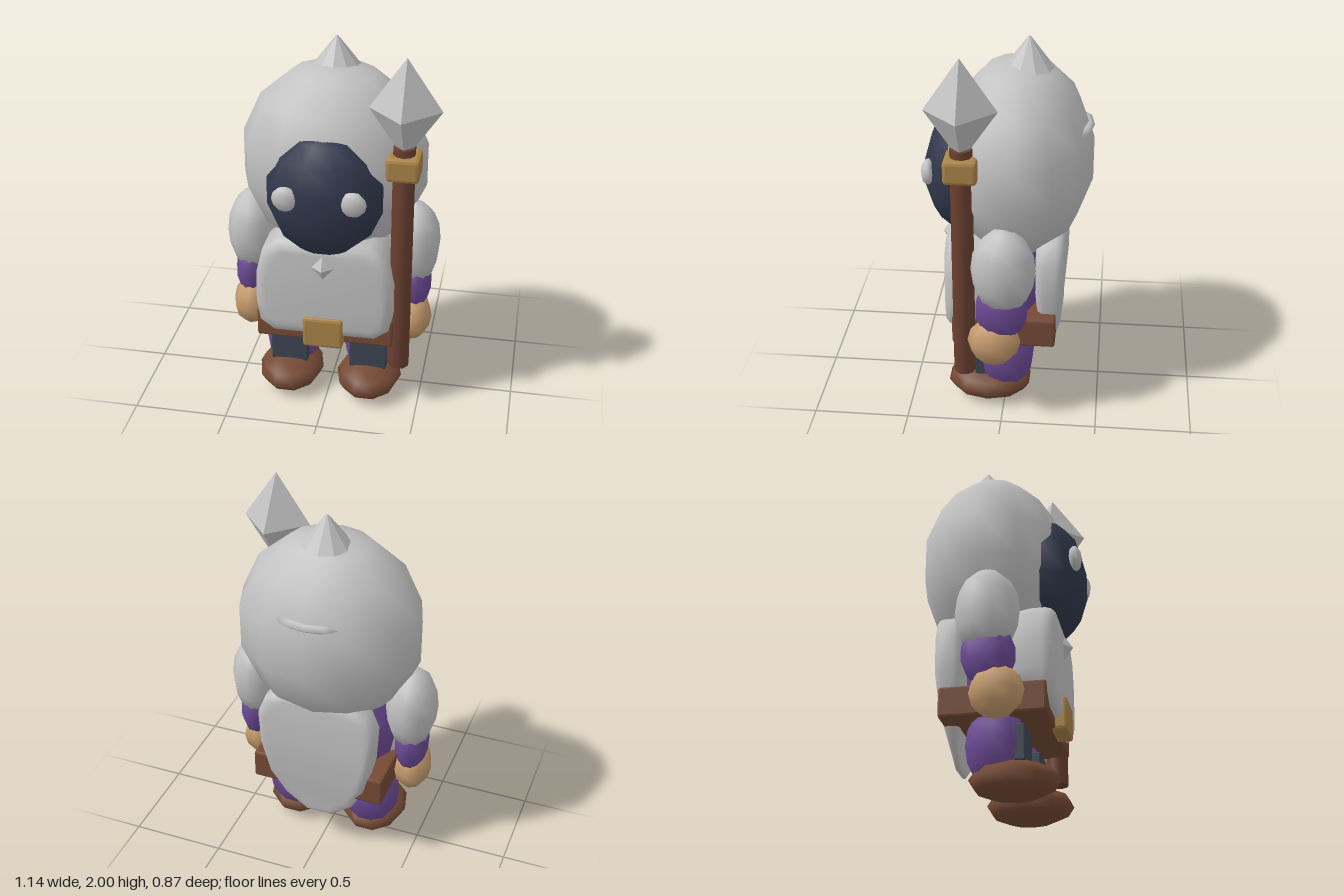
import * as THREE from 'three';
import { toCreasedNormals } from 'three/addons/utils/BufferGeometryUtils.js';
import { RoundedBoxGeometry } from 'three/addons/geometries/RoundedBoxGeometry.js';

const paint = (name, color) => {
  const m = new THREE.MeshStandardMaterial({ color });
  m.name = name;
  return m;
};

export function createModel() {
  const model = new THREE.Group();
  model.name = 'hoodedGuard';
  const cloth = paint('pale grey', 0xc2c2c2);
  const navy = paint('dark navy', 0x30384c);
  const slate = paint('slate', 0x3c4552);
  const purple = paint('purple', 0x6d4a96);
  const leather = paint('leather brown', 0x754a34);
  const wood = paint('wood brown', 0x6a4030);
  const gold = paint('dull gold', 0xab8549);
  const skin = paint('tan', 0xc59b6d);

  const add = (name, geo, mat, x = 0, y = 0, z = 0, parent = model) => {
    const mesh = new THREE.Mesh(geo, mat);
    mesh.name = name;
    mesh.position.set(x, y, z);
    parent.add(mesh);
    return mesh;
  };
  // Low-poly ellipsoid with smooth normals
  const ball = (name, mat, [x, y, z], [rx, ry, rz], w = 10, h = 7) =>
    add(name, new THREE.SphereGeometry(1, w, h).scale(rx, ry, rz), mat, x, y, z);
  const bevelBox = (name, mat, [x, y, z], [w, h, d], r) =>
    add(name, toCreasedNormals(new RoundedBoxGeometry(w, h, d, 1, r), 0.3), mat, x, y, z);
  // Faceted diamond
  const gem = (name, [x, y, z], [rx, ry, rz]) =>
    add(name, new THREE.OctahedronGeometry(1, 0).scale(rx, ry, rz), cloth, x, y, z);
  // Mirrored outline extruded between two depths, with softened edges
  const slab = (half, z0, z1, bevel) => {
    const mirrored = half.slice().reverse().map(([x, y]) => [-x, y]);
    const shape = new THREE.Shape([...half, ...mirrored].map(p => new THREE.Vector2(...p)));
    return new THREE.ExtrudeGeometry(shape, {
      depth: z1 - z0 - 2 * bevel, bevelEnabled: true, bevelSize: bevel,
      bevelThickness: bevel, bevelOffset: -bevel, bevelSegments: 3,
    }).translate(0, 0, z0 + bevel);
  };

  // Head
  ball('hood', cloth, [0, 1.335, -0.05], [0.497, 0.53, 0.395], 12, 7);
  ball('hoodFold', cloth, [0, 1.52, -0.37], [0.17, 0.025, 0.065], 8, 4);
  ball('face', navy, [0, 1.26, 0.245], [0.305, 0.33, 0.195]);
  const spike = new THREE.CylinderGeometry(0.006, 0.128, 0.16, 10);
  add('hoodSpike', toCreasedNormals(spike, 0.3), cloth, 0, 1.9, -0.1);

  // Torso, vest and cape
  ball('torso', purple, [0, 0.7, 0], [0.35, 0.38, 0.22], 10, 8);
  const vest = slab([[0.27, 0.44], [0.35, 0.5], [0.368, 0.62], [0.365, 0.78],
    [0.33, 0.92], [0.24, 1.0]], 0.0, 0.31, 0.06);
  add('vest', toCreasedNormals(vest, 1), cloth);
  gem('pendant', [0, 0.87, 0.285], [0.09, 0.105, 0.07]);

  const cape = slab([[0.07, 0.22], [0.19, 0.31], [0.27, 0.46], [0.315, 0.66],
    [0.325, 0.85], [0.28, 0.96], [0.17, 1.01]], -0.31, -0.16, 0.045);
  const p = cape.attributes.position;
  for (let i = 0; i < p.count; i++) {
    // Thin the cape toward its hem
    const t = THREE.MathUtils.clamp((p.getY(i) - 0.2) / 0.35, 0.25, 1);
    p.setZ(i, -0.23 + (p.getZ(i) + 0.23) * t);
  }
  cape.computeVertexNormals();
  add('cape', toCreasedNormals(cape, 1), cloth);

  // Belt
  bevelBox('belt', leather, [0, 0.475, 0], [0.73, 0.16, 0.54], 0.012);
  bevelBox('buckle', gold, [0, 0.478, 0.288], [0.212, 0.175, 0.085], 0.015);

  // Paired parts
  const sleeve = [[0, 0.72], [0.72, 0.725], [0.93, 0.81], [1, 0.9], [0.93, 0.99],
    [0.72, 1.06], [0.35, 1.115], [0, 1.125]].map(q => new THREE.Vector2(...q));
  for (const [side, s] of [['left', 1], ['right', -1]]) {
    ball(side + 'Eye', cloth, [s * 0.17, 1.3, 0.4], [0.069, 0.067, 0.036], 8, 6);
    add(side + 'ShoulderSleeve', new THREE.LatheGeometry(sleeve, 10).scale(0.135, 1, 0.165),
      cloth, s * 0.438, 0, -0.008);
    ball(side + 'Forearm', purple, [s * 0.445, 0.67, 0], [0.09, 0.17, 0.14]);
    ball(side + 'Hand', skin, [s * 0.443, 0.475, 0.04], [0.103, 0.137, 0.138], 8, 6);
    ball(side + 'Leg', purple, [s * 0.22, 0.27, 0], [0.16, 0.22, 0.158], 10, 8);
    bevelBox(side + 'KneePlate', slate, [s * 0.217, 0.262, 0.1], [0.2, 0.187, 0.11], 0.006);
    ball(side + 'Foot', leather, [s * 0.218, 0.095, 0.085], [0.178, 0.095, 0.228], 10, 6);
  }

  // Spear
  const shaft = new THREE.CylinderGeometry(0.057, 0.057, 1.285, 10);
  add('spearShaft', toCreasedNormals(shaft, 0.8), wood, 0.392, 0.8975, 0.2);
  bevelBox('spearCollar', gold, [0.392, 1.438, 0.2], [0.168, 0.125, 0.168], 0.018);
  gem('spearHead', [0.392, 1.735, 0.2], [0.181, 0.265, 0.181]);
  return model;
}
